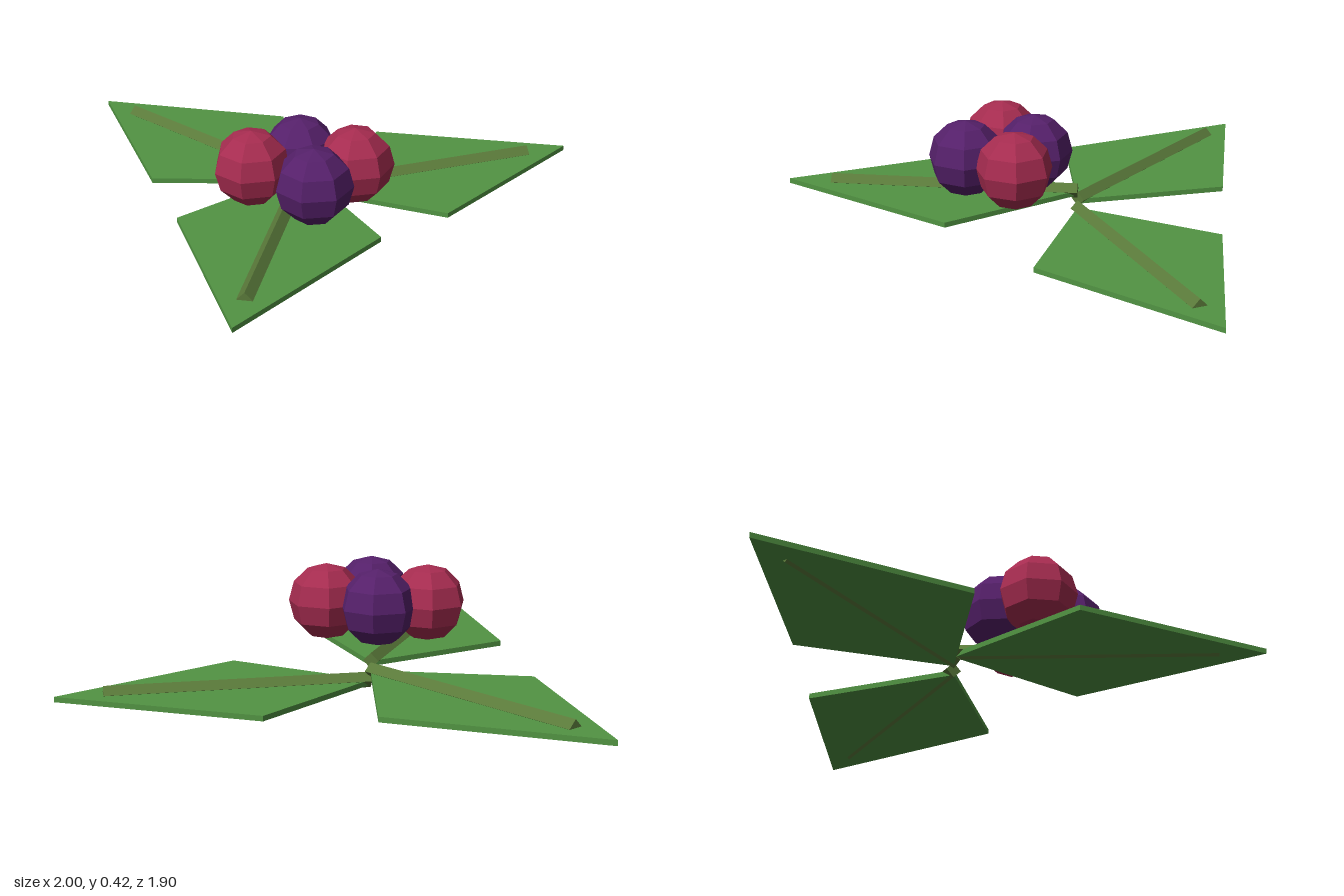
import * as THREE from 'three';

const flat = (name, color) => {
  const m = new THREE.MeshStandardMaterial({ color, flatShading: true });
  m.name = name;
  return m;
};

export function createModel() {
  const leafGreen = flat('leaf green', 0x529443);
  const veinGreen = flat('vein olive', 0x5a7a3a);
  const berryRed = flat('berry red', 0xa62c50);
  const berryPurple = flat('berry purple', 0x55206a);

  const model = new THREE.Group();
  model.name = 'berrySprig';

  // Kite-shaped leaf blade, lying flat and pointing along +x
  const kite = new THREE.Shape([
    new THREE.Vector2(0, 0),
    new THREE.Vector2(0.467, -0.392),
    new THREE.Vector2(1.17, 0),
    new THREE.Vector2(0.467, 0.392),
  ]);
  const bladeGeo = new THREE.ExtrudeGeometry(kite, { depth: 0.02, bevelEnabled: false });
  bladeGeo.rotateX(-Math.PI / 2);

  // Four-sided midrib with a ridge on top
  const veinGeo = new THREE.CylinderGeometry(0.03, 0.03, 0.994, 4);
  veinGeo.rotateZ(-Math.PI / 2);
  veinGeo.translate(0.497, 0.03, 0);

  // Three leaves fanned round the stem point, each a little higher
  [20, 140, 260].forEach((deg, i) => {
    const leaf = new THREE.Group();
    leaf.name = `leaf${i + 1}`;
    const blade = new THREE.Mesh(bladeGeo, leafGreen);
    blade.name = 'leafBlade';
    blade.position.y = 0.009;
    const vein = new THREE.Mesh(veinGeo, veinGreen);
    vein.name = 'leafVein';
    leaf.add(blade, vein);
    leaf.position.set(-0.1, 0.036 * i, -0.2);
    leaf.rotation.y = THREE.MathUtils.degToRad(deg);
    model.add(leaf);
  });

  // Cluster of faceted berries: x, z, turn in degrees, colour
  const berryGeo = new THREE.SphereGeometry(0.15, 7, 6);
  [
    [-0.285, 0.09, 180, berryRed],
    [0.108, 0.06, 180, berryRed],
    [-0.045, 0.24, 176, berryPurple],
    [-0.105, -0.028, 167, berryPurple],
  ].forEach(([x, z, turn, material], i) => {
    const berry = new THREE.Mesh(berryGeo, material);
    berry.name = `berry${i + 1}`;
    berry.position.set(x, 0.27, z);
    berry.rotation.y = THREE.MathUtils.degToRad(turn);
    model.add(berry);
  });

  return model;
}
